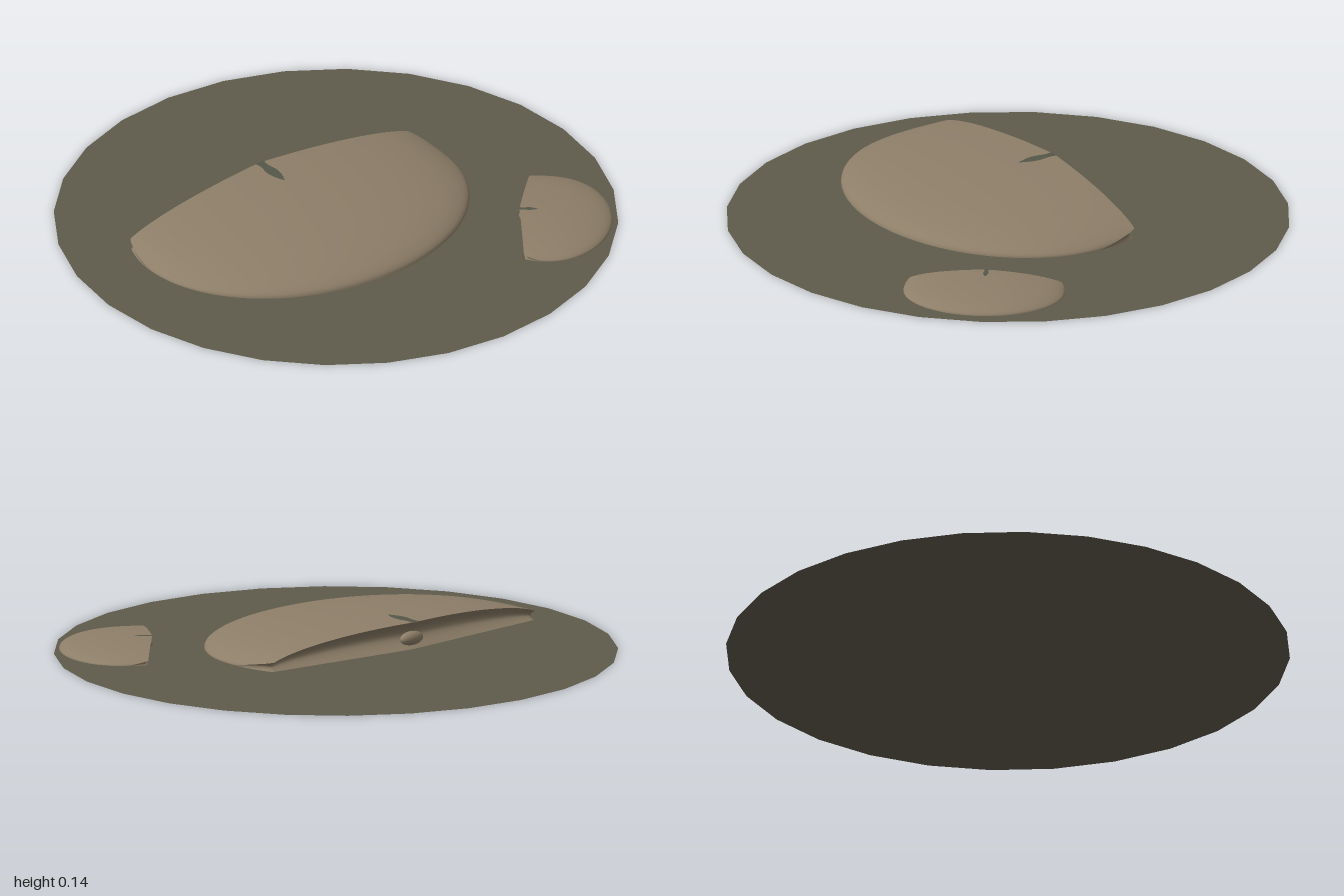
import * as THREE from 'three';
import { ParametricGeometry } from 'three/addons/geometries/ParametricGeometry.js';

const ground = new THREE.MeshStandardMaterial({ color: 0x5e5b4b, side: THREE.DoubleSide });
ground.name = 'dark olive ground';
const hide = new THREE.MeshStandardMaterial({ color: 0x8d7e68, side: THREE.DoubleSide });
hide.name = 'warm tan shell';
const dark = new THREE.MeshStandardMaterial({ color: 0x55574a, side: THREE.DoubleSide });
dark.name = 'grey green mark';

const HALF = 0.65, RADIUS_Z = 0.52, MID_Z = 0.23, BASE = 0.032, RISE = 0.103;

// Outline of the half shell at s = -1..1 across its width (back apex at z = 0)
function section(s) {
  const c = Math.sqrt(Math.max(0, 1 - s * s));
  const x = HALF * s;
  const back = Math.max(0.06 * Math.abs(x) / 0.62, MID_Z - RADIUS_Z * c);
  return { c, x, back, front: MID_Z + RADIUS_Z * c, floor: BASE + 0.006 * (1 - c) };
}

function patch(name, fn, slices, stacks) {
  const geometry = new ParametricGeometry(fn, slices, stacks);
  geometry.computeVertexNormals();
  const mesh = new THREE.Mesh(geometry, hide);
  mesh.name = name;
  return mesh;
}

const across = u => section(Math.sin((u - 0.5) * Math.PI));

function makeShell(name) {
  const shell = new THREE.Group();
  shell.name = name;

  // Domed top, highest along the back lip
  shell.add(patch('dome', (u, v, p) => {
    const { c, x, back, front, floor } = across(1 - u);
    const a = v * Math.PI / 2;
    p.set(x, floor + RISE * c * Math.cos(a), back + (front - back) * Math.sin(a));
  }, 64, 24));

  // Hollow channel under the back lip
  shell.add(patch('backChannel', (u, v, p) => {
    const { c, x, back, floor } = across(u);
    const hollow = 0.06 * c * Math.sin(v * Math.PI);
    p.set(x, floor + RISE * c * (1 - v), back + 0.02 * c * v + hollow);
  }, 64, 12));

  // Flat underside
  shell.add(patch('underside', (u, v, p) => {
    const { c, x, back, front, floor } = across(u);
    const z0 = back + 0.02 * c;
    p.set(x, floor, z0 + (front - z0) * v);
  }, 64, 4));

  // Rounded knob set in the channel
  const knob = new THREE.Mesh(new THREE.SphereGeometry(0.025, 24, 16), hide);
  knob.name = 'knob';
  knob.scale.x = 2;
  knob.position.set(0, 0.073, 0.022);
  shell.add(knob);

  // Narrow leaf-shaped mark on the crown
  const leaf = new THREE.Shape();
  leaf.moveTo(-0.02, 0);
  leaf.lineTo(0.02, 0);
  leaf.quadraticCurveTo(0.01, 0.02, 0.02, 0.06);
  leaf.quadraticCurveTo(0.026, 0.1, 0, 0.15);
  leaf.quadraticCurveTo(-0.026, 0.1, -0.02, 0.06);
  leaf.quadraticCurveTo(-0.01, 0.02, -0.02, 0);
  const mark = new THREE.Mesh(new THREE.ShapeGeometry(leaf, 8), dark);
  mark.name = 'crownMark';
  mark.rotation.x = Math.PI / 2;
  mark.position.y = BASE + RISE + 0.001;
  shell.add(mark);
  return shell;
}

export function createModel() {
  const model = new THREE.Group();
  model.name = 'shellsOnDisc';

  // Flat round base
  const disc = new THREE.Mesh(new THREE.CircleGeometry(1, 28), ground);
  disc.name = 'baseDisc';
  disc.rotation.x = -Math.PI / 2;
  model.add(disc);

  const large = makeShell('largeShell');
  large.position.set(-0.13, 0, -0.28);
  model.add(large);

  const small = makeShell('smallShell');
  small.scale.setScalar(0.44);
  small.rotation.y = 0.9;
  small.position.set(0.5, 0, 0.416);
  model.add(small);
  return model;
}
